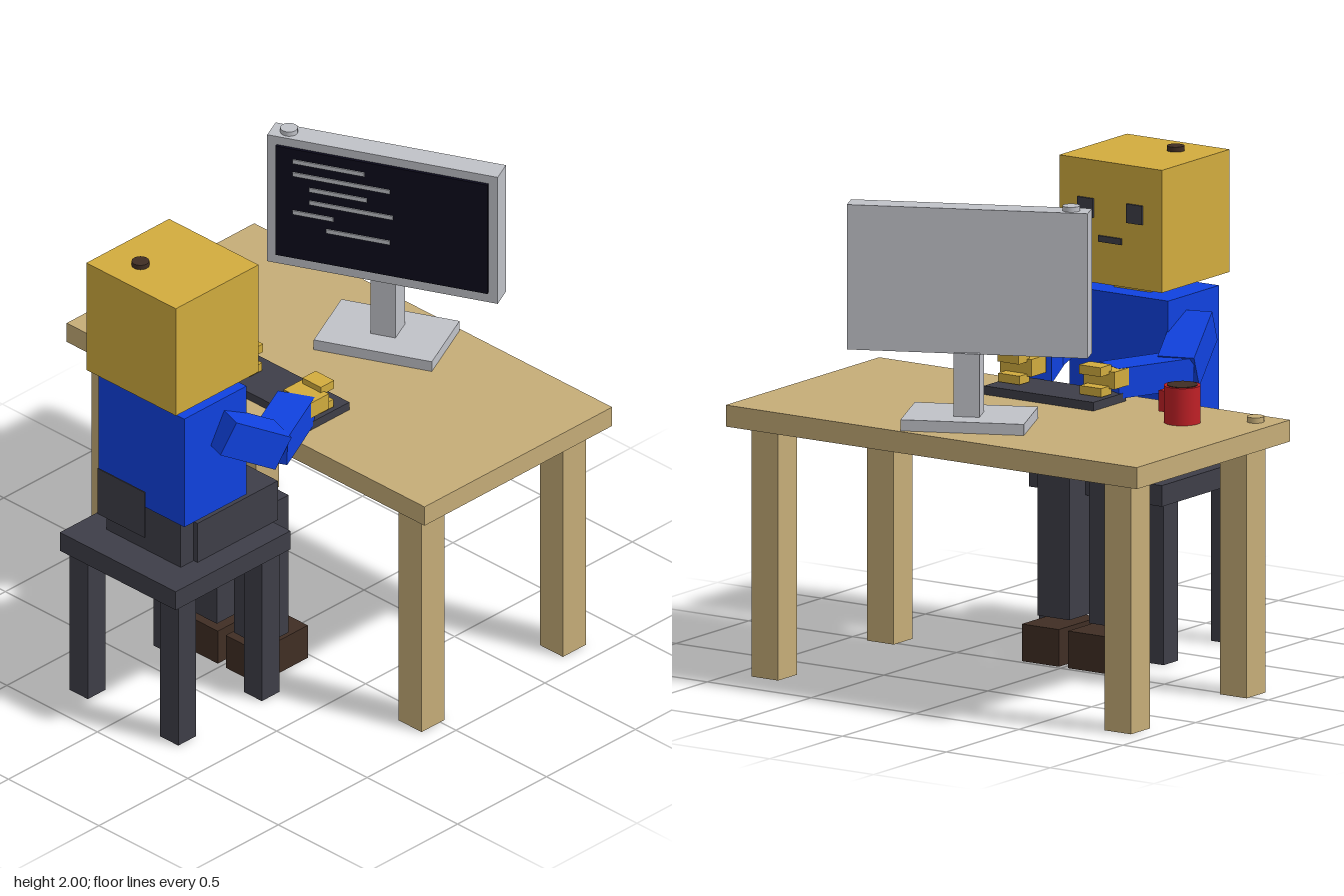
import * as THREE from 'three';

const mat = (name, color) => {
  const m = new THREE.MeshStandardMaterial({ color });
  m.name = name;
  return m;
};

export function createModel() {
  const wood = mat('wood', 0xc6ad78);
  const gold = mat('goldSkin', 0xd2ac3e);
  const blue = mat('blueShirt', 0x1042e0);
  const dark = mat('darkGrey', 0x3e3e48);
  const brown = mat('darkBrown', 0x402e24);
  const grey = mat('lightGrey', 0xc0c2c8);
  const red = mat('redMug', 0xc02026);
  const black = mat('screenBlack', 0x0c0a1c);

  const model = new THREE.Group();
  model.name = 'deskScene';
  const group = (name, parent = model) => {
    const g = new THREE.Group();
    g.name = name;
    parent.add(g);
    return g;
  };
  // box given by its minimum and maximum on each axis
  const box = (parent, name, m, [x0, x1], [y0, y1], [z0, z1]) => {
    const mesh = new THREE.Mesh(new THREE.BoxGeometry(x1 - x0, y1 - y0, z1 - z0), m);
    mesh.position.set((x0 + x1) / 2, (y0 + y1) / 2, (z0 + z1) / 2);
    mesh.name = name;
    parent.add(mesh);
    return mesh;
  };
  const disc = (parent, name, m, r, [y0, y1], x, z, sides = 16) => {
    const mesh = new THREE.Mesh(new THREE.CylinderGeometry(r, r, y1 - y0, sides), m);
    mesh.position.set(x, (y0 + y1) / 2, z);
    mesh.name = name;
    parent.add(mesh);
    return mesh;
  };
  const span = (s, a, b) => (s > 0 ? [a, b] : [-b, -a]);

  // desk
  const desk = group('desk');
  box(desk, 'deskTop', wood, [-0.99, 0.988], [1.013, 1.1], [-0.89, 0.165]);
  for (const s of [-1, 1])
    for (const z of [[-0.82, -0.69], [-0.025, 0.105]])
      box(desk, 'deskLeg', wood, span(s, 0.785, 0.913), [0, 1.013], z);
  disc(desk, 'coaster', wood, 0.035, [1.1, 1.122], -0.895, 0.062);

  // stool with a small floating back rest
  const chair = group('chair');
  box(chair, 'seat', dark, [-0.32, 0.32], [0.65, 0.735], [0.24, 0.885]);
  for (const s of [-1, 1])
    for (const z of [[0.28, 0.38], [0.75, 0.85]])
      box(chair, 'chairLeg', dark, span(s, 0.2, 0.3), [0, 0.65], z);
  box(chair, 'backRest', dark, [-0.13, 0.13], [0.895, 1.105], [0.862, 0.867]);

  // seated person, facing the desk
  const person = group('person');
  box(person, 'head', gold, [-0.247, 0.247], [1.485, 1.98], [0.345, 0.81]);
  box(person, 'neck', gold, [-0.088, 0.088], [1.44, 1.485], [0.493, 0.667]);
  box(person, 'torso', blue, [-0.237, 0.237], [0.94, 1.44], [0.402, 0.752]);
  box(person, 'hips', dark, [-0.205, 0.205], [0.735, 0.94], [0.39, 0.74]);
  disc(person, 'crownKnob', brown, 0.035, [1.98, 2], -0.083, 0.673);
  box(person, 'mouth', dark, [-0.055, 0.055], [1.655, 1.68], [0.336, 0.345]);

  for (const s of [-1, 1]) {
    box(person, 'eye', dark, span(s, 0.08, 0.155), [1.748, 1.825], [0.336, 0.345]);
    box(person, 'thigh', dark, span(s, 0.022, 0.226), [0.735, 0.915], [0.215, 0.667]);
    box(person, 'shin', dark, span(s, 0.047, 0.2), [0.165, 0.8], [0.128, 0.28]);
    box(person, 'shoe', brown, span(s, 0.022, 0.2), [0, 0.15], [0.02, 0.3]);

    // arms bend outward at the elbow, then in towards the keyboard
    const limb = (name, size, pos, pitch, yaw) => {
      const mesh = new THREE.Mesh(new THREE.BoxGeometry(...size), blue);
      mesh.name = name;
      mesh.position.set(pos[0] * s, pos[1], pos[2]);
      mesh.rotation.set(pitch, yaw * s, 0, 'YXZ');
      person.add(mesh);
    };
    limb('upperArm', [0.15, 0.148, 0.28], [0.293, 1.249, 0.455], -0.51, -0.314);
    limb('forearm', [0.153, 0.122, 0.34], [0.26, 1.178, 0.223], -0.02, 0.454);

    // hand with an upper and a lower finger block
    box(person, 'palm', gold, span(s, 0.125, 0.275), [1.165, 1.235], [-0.022, 0.08]);
    box(person, 'upperFingers', gold, span(s, 0.145, 0.248), [1.223, 1.26], [-0.08, -0.005]);
    box(person, 'lowerFingers', gold, span(s, 0.145, 0.248), [1.14, 1.175], [-0.075, -0.005]);
  }

  box(model, 'keyboard', dark, [-0.263, 0.263], [1.1, 1.135], [-0.15, 0.075]);

  // mug
  const mug = group('mug');
  disc(mug, 'mugBody', red, 0.073, [1.1, 1.25], -0.663, -0.11, 24);
  disc(mug, 'coffee', brown, 0.061, [1.249, 1.253], -0.663, -0.11, 24);
  box(mug, 'mugHandle', red, [-0.6, -0.565], [1.135, 1.22], [-0.132, -0.09]);

  // monitor, turned on the desk
  const monitor = group('monitor');
  monitor.position.set(0, 0, -0.627);
  monitor.rotation.y = 0.436;
  box(monitor, 'monitorBase', grey, [-0.247, 0.247], [1.1, 1.145], [-0.163, 0.163]);
  box(monitor, 'monitorNeck', grey, [-0.052, 0.052], [1.145, 1.4], [-0.068, 0.042]);
  box(monitor, 'monitorCase', grey, [-0.482, 0.482], [1.395, 1.98], [-0.049, 0.049]);
  box(monitor, 'screen', black, [-0.443, 0.443], [1.44, 1.943], [0.045, 0.062]);
  const bars = [
    [-0.37, -0.07], [-0.37, 0.036], [-0.3, -0.06],
    [-0.3, 0.048], [-0.37, -0.2], [-0.23, 0.036],
  ];
  bars.forEach((x, i) => {
    const y = 1.888 - i * 0.0587;
    box(monitor, 'screenBar', grey, x, [y - 0.009, y + 0.009], [0.061, 0.067]);
  });
  disc(model, 'cameraKnob', grey, 0.035, [1.98, 2], -0.37, -0.455);

  return model;
}
